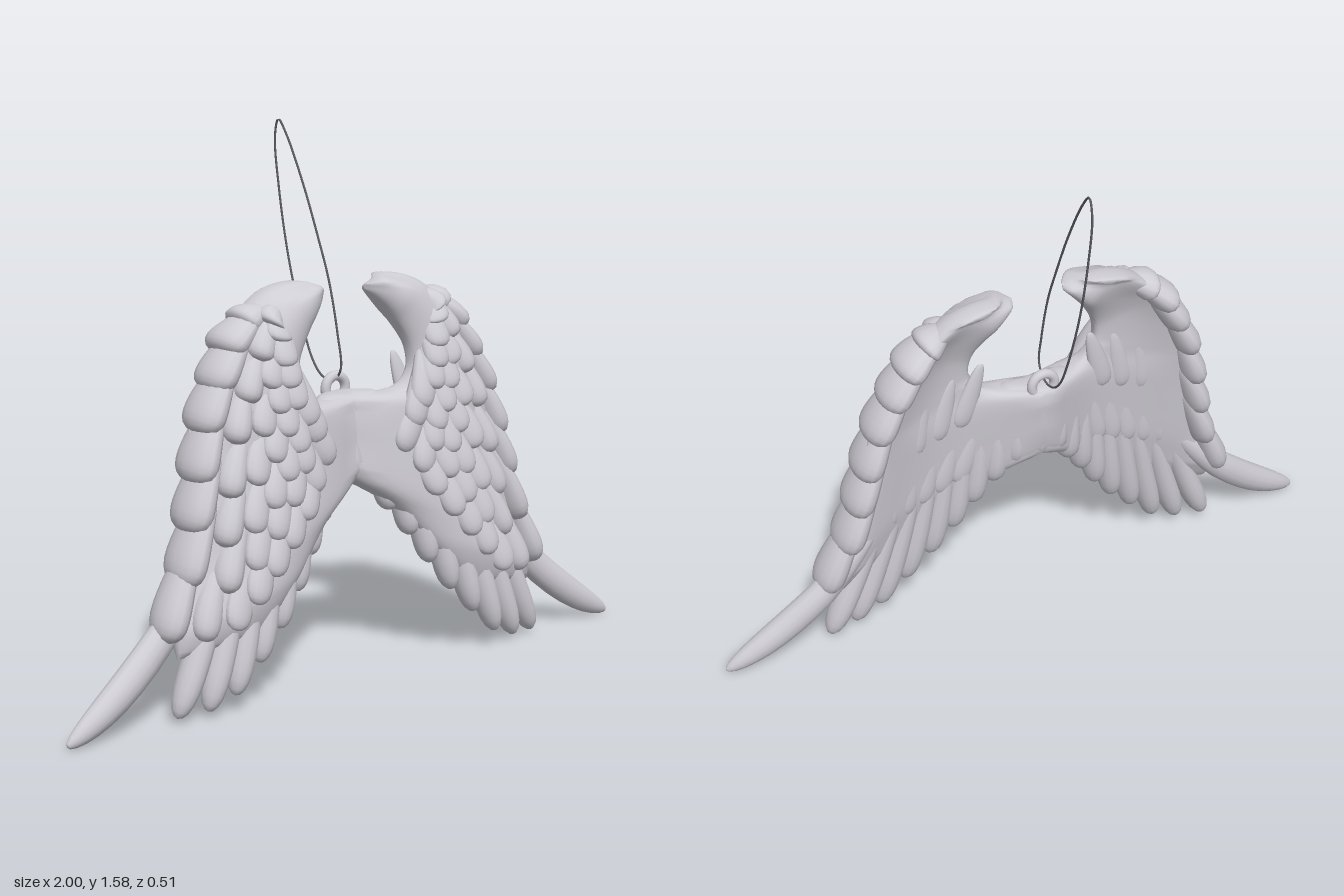
import * as THREE from 'three';
import { mergeVertices, mergeGeometries } from 'three/addons/utils/BufferGeometryUtils.js';

const V = (x, y, z = 0) => new THREE.Vector3(x, y, z);
const curve = pts => new THREE.CatmullRomCurve3(pts.map(p => V(...p)), false, 'centripetal');

// Leading edge of the wing, as [x, y] from top to bottom
const EDGE = [[0.15, 1.16], [0.3, 1.13], [0.4, 1.05], [0.47, 0.94], [0.53, 0.8], [0.57, 0.65], [0.61, 0.45], [0.68, 0.26], [0.7, 0]];
function edgeX(y) {
  for (let i = 1; i < EDGE.length; i++) {
    const [x0, y0] = EDGE[i - 1], [x1, y1] = EDGE[i];
    if (y >= y1) return x0 + (x1 - x0) * Math.max(0, (y0 - y) / (y0 - y1));
  }
  return 0.7;
}
const across = (x, y) => Math.min(1, Math.abs(x) / edgeX(y));

// Middle depth of the curved wing at (x, y), and its front surface
function midZ(x, y) {
  const v = across(x, y);
  return 0.05 + 0.115 * (1.1 - y) + 0.05 * Math.sin(Math.PI * v) - 0.04 * (1 - v) ** 2;
}
const frontZ = (x, y) => midZ(x, y) + 0.055 * Math.sqrt(1 - across(x, y) ** 4);

// Smooth core of one wing, lofted between its inner and outer edges
function wingCore() {
  const inner = curve([[0.08, 1.125], [0.12, 1.08], [0.165, 1.02], [0.2, 0.95], [0.2, 0.885], [0.15, 0.835],
    [-0.12, 0.825], [-0.13, 0.72], [-0.1, 0.65], [0.12, 0.5], [0.27, 0.34], [0.4, 0.22]]);
  const outer = curve([[0.08, 1.14], [0.14, 1.165], [0.27, 1.145], [0.39, 1.05], [0.46, 0.93], [0.51, 0.79],
    [0.54, 0.67], [0.57, 0.54], [0.59, 0.42], [0.63, 0.31], [0.65, 0.25], [0.65, 0.19]]);
  const rings = 66, sides = 28, pos = [], index = [];
  for (let i = 0; i <= rings; i++) {
    const t = i / rings, a = inner.getPoint(t), b = outer.getPoint(t);
    const taper = Math.sqrt(Math.min(1, t / 0.14)) * Math.sqrt(Math.min(1, (1 - t) / 0.12));
    for (let j = 0; j < sides; j++) {
      const f = j / sides * Math.PI * 2, s = (1 - Math.cos(f)) / 2;
      const p = a.clone().lerp(b, s), sn = Math.sin(f);
      const bridge = p.y < 0.87 ? 0.03 * Math.exp(-((p.x / 0.15) ** 2)) : 0;
      const hollow = THREE.MathUtils.smoothstep(t, 0.1, 0.3);
      const back = THREE.MathUtils.lerp(0.075, 0.03 + 0.06 * s ** 4, hollow);
      const h = (sn > 0 ? 0.055 : -back) + Math.sign(sn) * bridge;
      pos.push(p.x, p.y, midZ(p.x, p.y) + h * Math.abs(sn) ** 0.7 * taper);
      if (i < rings) {
        const k = (j + 1) % sides, r = i * sides, q = r + sides;
        index.push(r + j, q + j, r + k, q + j, q + k, r + k);
      }
    }
  }
  const g = new THREE.BufferGeometry();
  g.setAttribute('position', new THREE.Float32BufferAttribute(pos, 3));
  g.setIndex(index);
  g.computeVertexNormals();
  return g;
}

// One plump, blunt feather along a bent path; depth(x, y, a) gives the centre line depth
function feather(root, bend, tip, width, thick, depth, taper = 0) {
  let g = new THREE.SphereGeometry(1, 14, 16);
  g.deleteAttribute('uv');
  g.deleteAttribute('normal');
  g = mergeVertices(g, 1e-4);
  const path = new THREE.QuadraticBezierCurve3(root, bend, tip), p = g.attributes.position;
  for (let i = 0; i < p.count; i++) {
    const a = THREE.MathUtils.clamp((1 - p.getY(i)) / 2, 0, 1);
    const r = Math.hypot(p.getX(i), p.getZ(i)) || 1;
    const size = Math.pow(a, 0.4) * Math.sqrt(Math.max(0, 1 - a ** 9)) * (1 - taper * a * a);
    const c = path.getPoint(a), d = path.getTangent(a).negate();
    const l = p.getX(i) / r * size * width;
    p.setXYZ(i, c.x + d.y * l, c.y - d.x * l, depth(c.x, c.y, a) + p.getZ(i) / r * size * thick);
  }
  g.computeVertexNormals();
  return g;
}

// Rows of covert feathers: count, length, then tip positions from inner to leading edge
const ROWS = [
  [9, 0.25, [[0.13, 0.66], [0.22, 0.56], [0.38, 0.38], [0.52, 0.25], [0.68, 0.24]]],
  [7, 0.24, [[0.17, 0.73], [0.26, 0.62], [0.39, 0.45], [0.51, 0.36], [0.615, 0.38]]],
  [7, 0.22, [[0.2, 0.78], [0.28, 0.67], [0.38, 0.55], [0.49, 0.48], [0.58, 0.52]]],
  [6, 0.2, [[0.25, 0.83], [0.3, 0.75], [0.38, 0.66], [0.47, 0.61], [0.55, 0.65]]],
  [5, 0.19, [[0.27, 0.89], [0.33, 0.81], [0.41, 0.75], [0.52, 0.78]]],
  [4, 0.17, [[0.28, 0.95], [0.33, 0.9], [0.39, 0.86], [0.475, 0.89]]],
  [3, 0.15, [[0.29, 1.02], [0.35, 0.97], [0.43, 0.99]]],
  [2, 0.12, [[0.3, 1.06], [0.365, 1.06]]],
];

function covertFeathers() {
  const out = [];
  for (const [n, len, pts] of ROWS) {
    const tips = curve(pts).getSpacedPoints(n - 1);
    tips.forEach((tip, i) => {
      const fromEdge = n - 1 - i;
      const wrap = fromEdge === 0 ? 1 : fromEdge === 1 ? 0.3 : 0;
      const thick = [tip.y > 1 ? 0.08 : 0.097, 0.06, 0.034][Math.min(2, fromEdge)] * (tip.y < 0.3 ? 0.85 : 1);
      const dir = V(0.4 + 0.9 * Math.max(0, tip.y - 0.75), -0.9).normalize();
      const root = tip.clone().addScaledVector(dir, -len * (1 + 0.2 * wrap));
      // keep roots inside the smooth shoulder
      root.y = Math.min(root.y, 1.095);
      root.x = THREE.MathUtils.clamp(root.x, root.y > 0.8 ? 0.25 : 0.08, edgeX(root.y) - 0.045);
      const bend = root.clone().lerp(tip, 0.5).add(V(0.012, 0.008));
      const depth = (x, y, a) => THREE.MathUtils.lerp(frontZ(x, y) - 0.035 + 0.04 * a, midZ(x, y) - 0.005, wrap);
      out.push(feather(root, bend, tip, 0.052, thick, depth));
    });
  }
  return mergeGeometries(out);
}

// Long feathers along the lower edge, seen from front and back
function flightFeathers() {
  const tips = [[0.07, 0.55], [0.13, 0.48], [0.19, 0.4], [0.25, 0.31], [0.32, 0.22], [0.4, 0.14], [0.485, 0.065], [0.57, 0.035], [0.66, 0.03]];
  const out = tips.map(([x, y], i) => {
    const k = i / (tips.length - 1), tip = V(x, y);
    const root = V(0.08 + 0.36 * k, 0.8 - 0.22 * k);
    const bend = root.clone().lerp(tip, 0.55).add(V(-0.015, -0.01));
    return feather(root, bend, tip, 0.05, 0.056, (px, py) => midZ(px, py) - 0.008, 0.15);
  });
  return mergeGeometries(out);
}

// Shallow ridges lying in the hollow back
function backFeathers() {
  const out = [];
  for (const [n, y0, len] of [[6, 0.5, 0.26], [5, 0.72, 0.22]]) {
    for (let i = 0; i < n; i++) {
      const k = i / (n - 1), tip = V(0.24 + 0.28 * k, y0 - 0.12 * k);
      const root = tip.clone().add(V(-0.3 * len * (1 - k), len));
      out.push(feather(root, root.clone().lerp(tip, 0.5), tip, 0.04, 0.022, (x, y, a) => midZ(x, y) - 0.022 - 0.008 * a));
    }
  }
  return mergeGeometries(out);
}

const tipFeather = () => feather(V(0.5, 0.45), V(0.73, 0.15), V(1.0, 0.025), 0.073, 0.062,
  (x, y, a) => midZ(x, y) - 0.028 + 0.02 * a, 0.55);

// Copy reflected in x, with the corner order reversed to match
function mirrored(geo) {
  const g = geo.clone().scale(-1, 1, 1), ix = g.index;
  for (let i = 0; i < ix.count; i += 3) {
    const t = ix.getX(i);
    ix.setX(i, ix.getX(i + 2));
    ix.setX(i + 2, t);
  }
  g.computeVertexNormals();
  return g;
}

export function createModel() {
  const model = new THREE.Group();
  const silver = new THREE.MeshStandardMaterial({ color: 0xcfcdd4 });
  silver.name = 'silver grey';
  const dark = new THREE.MeshStandardMaterial({ color: 0x5c5c62 });
  dark.name = 'dark cord';
  const add = (parent, name, geo, mat) => {
    const m = new THREE.Mesh(geo, mat);
    m.name = name;
    parent.add(m);
    return m;
  };

  // Pair of wings
  const parts = {
    wingCore: wingCore(), covertFeathers: covertFeathers(), flightFeathers: flightFeathers(),
    backFeathers: backFeathers(), tipFeather: tipFeather(),
  };
  for (const side of ['left', 'right']) {
    const wing = new THREE.Group();
    wing.name = side + 'Wing';
    for (const [name, geo] of Object.entries(parts)) add(wing, name, side === 'left' ? geo : mirrored(geo), silver);
    model.add(wing);
  }

  // Hanging ring and cord loop
  add(model, 'hangingRing', new THREE.TorusGeometry(0.036, 0.015, 12, 32), silver).position.set(0, 0.842, 0.03);
  const loop = [[0.02, 0.862], [-0.03, 0.868], [-0.075, 0.91], [-0.12, 1.0], [-0.19, 1.2], [-0.235, 1.4], [-0.253, 1.55], [-0.237, 1.6],
    [-0.2, 1.56], [-0.12, 1.42], [-0.05, 1.27], [0, 1.15], [0.04, 1.0], [0.055, 0.9]];
  const cord = new THREE.CatmullRomCurve3(loop.map(([z, y]) => V(0, y, z)), true);
  add(model, 'cordLoop', new THREE.TubeGeometry(cord, 120, 0.0032, 8, true), dark);
  return model;
}
